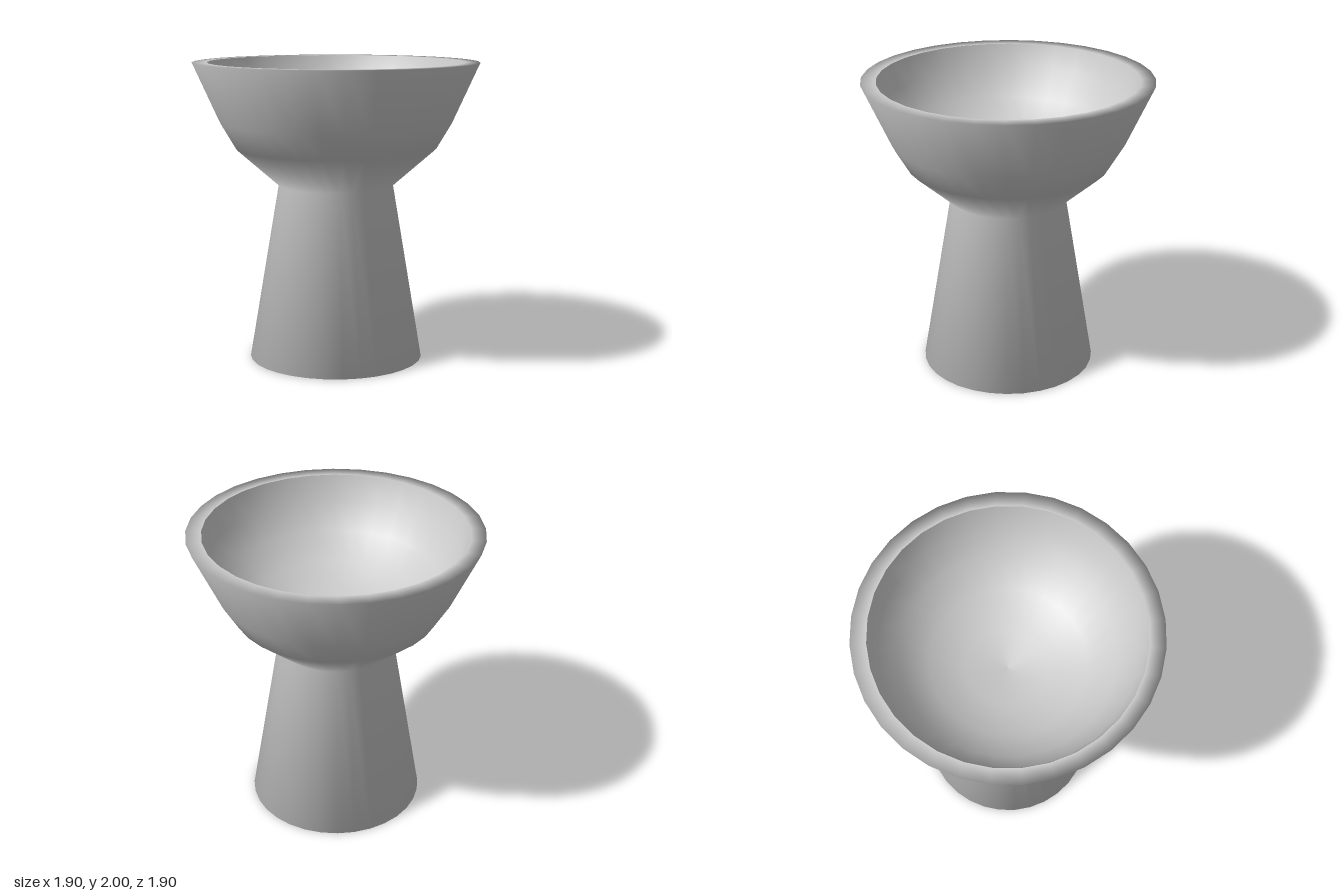
import * as THREE from 'three';

const SEGMENTS = 32;
const material = new THREE.MeshStandardMaterial({ color: 0xcccccc });

// Revolve a list of [radius, height] points into a named mesh
function lathe(name, points) {
  const profile = points.map(([r, y]) => new THREE.Vector2(r, y));
  const mesh = new THREE.Mesh(new THREE.LatheGeometry(profile, SEGMENTS), material);
  mesh.name = name;
  return mesh;
}

export function createModel() {
  const model = new THREE.Group();
  model.name = 'goblet';

  // Closed foot, tapering stem, flared bowl and flat rim, smooth throughout
  model.add(lathe('stemAndOuterBowl', [
    [0, 0], [0.585, 0],
    [0.385, 1.18],
    [0.67, 1.43], [0.77, 1.6], [0.95, 2],
    [0.85, 2],
  ]));

  // Rounded hollow, with a sharp edge where it meets the rim
  model.add(lathe('bowlHollow', [
    [0.85, 2], [0.8, 1.84], [0.68, 1.66], [0.5, 1.52], [0.27, 1.43], [0, 1.4],
  ]));

  return model;
}
